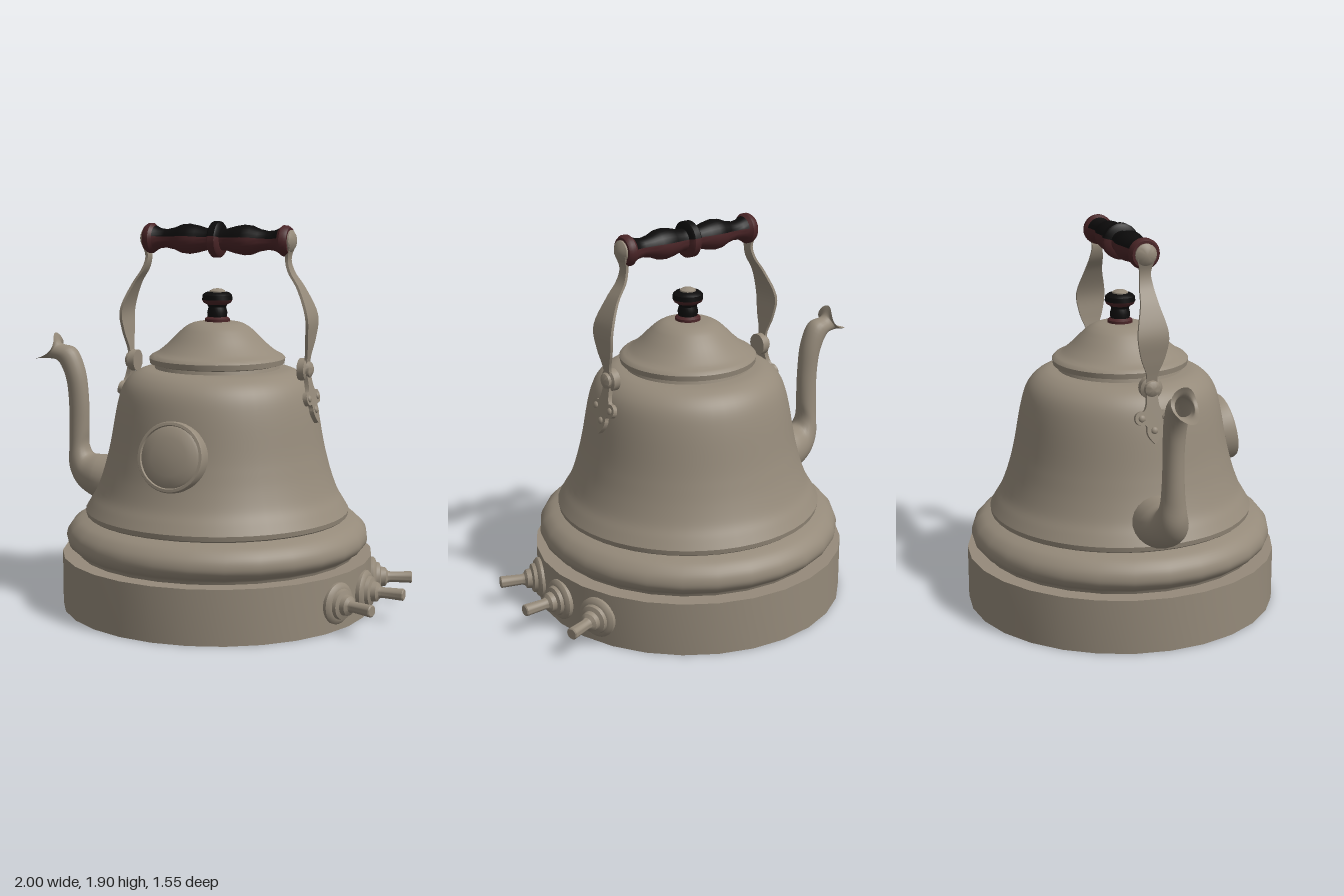
import * as THREE from 'three';
import { toCreasedNormals } from 'three/addons/utils/BufferGeometryUtils.js';

const metal = new THREE.MeshStandardMaterial({ color: 0x958a7a, side: THREE.DoubleSide });
metal.name = 'warm grey metal';
const wood = new THREE.MeshStandardMaterial({ color: 0x4a2527 });
wood.name = 'dark red wood';
const black = new THREE.MeshStandardMaterial({ color: 0x0c0b0b });
black.name = 'black lacquer';

const CENTRE = 0.023; // the pot stands slightly to the left of the spout-to-tap middle

function add(parent, name, geometry, material) {
  const mesh = new THREE.Mesh(geometry, material);
  mesh.name = name;
  parent.add(mesh);
  return mesh;
}

const vec2 = (pts) => pts.map(([x, y]) => new THREE.Vector2(x, y));
const smooth = (pts, n) => new THREE.SplineCurve(vec2(pts)).getPoints(n).map((p) => [Math.max(p.x, 0), p.y]);

// Turned part: profile of [radius, height] from bottom to top
function turned(pts, sides, start = 0, arc = Math.PI * 2) {
  return toCreasedNormals(new THREE.LatheGeometry(vec2(pts), sides, start, arc), 0.65);
}

// Spout made of elliptical rings: outer edge, inner edge and half width
function spoutGeometry() {
  const rings = [
    [-0.45, 0.42, -0.45, 0.70, 0.14], [-0.62, 0.465, -0.62, 0.70, 0.125],
    [-0.745, 0.53, -0.685, 0.705, 0.09], [-0.8, 0.62, -0.705, 0.75, 0.068],
    [-0.805, 0.74, -0.7, 0.83, 0.055], [-0.805, 0.98, -0.7, 0.98, 0.05],
    [-0.822, 1.1, -0.722, 1.14, 0.055], [-0.865, 1.175, -0.775, 1.245, 0.055],
    [-0.92, 1.185, -0.855, 1.268, 0.045], [-1.0, 1.18, -0.885, 1.32, 0.062],
  ];
  const outer = new THREE.CatmullRomCurve3(rings.map((r) => new THREE.Vector3(r[0], r[1], r[4])));
  const inner = new THREE.CatmullRomCurve3(rings.map((r) => new THREE.Vector3(r[2], r[3], 0)));
  const N = 45, M = 24, pos = [], idx = [];
  for (let i = 0; i <= N; i++) {
    const a = outer.getPoint(i / N), b = inner.getPoint(i / N);
    const notch = 0.06 * Math.max(0, (i / N - 0.89) / 0.11); // mouth dips between the two lips
    for (let j = 0; j < M; j++) {
      const t = (j / M) * Math.PI * 2, c = Math.cos(t) / 2, s = Math.sin(t);
      pos.push((a.x + b.x) / 2 + (a.x - b.x) * c + notch * s * s,
        (a.y + b.y) / 2 + (a.y - b.y) * c - notch * 0.25 * s * s, a.z * s);
      if (i < N) {
        const p = i * M + j, q = i * M + (j + 1) % M;
        idx.push(p, q, p + M, q, q + M, p + M);
      }
    }
  }
  const g = new THREE.BufferGeometry();
  g.setAttribute('position', new THREE.Float32BufferAttribute(pos, 3));
  g.setIndex(idx);
  g.computeVertexNormals();
  return g;
}

// Bent strap: a box whose rows follow a path of (x, y, half width)
function strapGeometry() {
  const path = new THREE.CatmullRomCurve3([
    [0.466, 1.2, 0.03], [0.474, 1.26, 0.026], [0.487, 1.35, 0.058], [0.492, 1.455, 0.075],
    [0.437, 1.59, 0.045], [0.385, 1.67, 0.033], [0.37, 1.73, 0.027], [0.388, 1.8, 0.045],
  ].map((p) => new THREE.Vector3(...p)));
  const g = new THREE.BoxGeometry(1, 1, 1, 1, 32, 1);
  const p = g.attributes.position;
  for (let i = 0; i < p.count; i++) {
    const c = path.getPoint(p.getY(i) + 0.5);
    p.setXYZ(i, c.x + p.getX(i) * 0.014, c.y, Math.sign(p.getZ(i)) * c.z);
  }
  return toCreasedNormals(g, 0.6);
}

// Leaf-shaped mounting plate hanging below its origin
function bracketGeometry() {
  const s = new THREE.Shape();
  s.moveTo(-0.028, 0.05);
  s.lineTo(0.028, 0.05);
  s.quadraticCurveTo(0.022, -0.04, 0.045, -0.06);
  s.absarc(0.058, -0.09, 0.033, 1.9, -1.9, true);
  s.quadraticCurveTo(0.03, -0.125, 0.036, -0.15);
  s.quadraticCurveTo(0.036, -0.18, 0, -0.215);
  s.quadraticCurveTo(-0.036, -0.18, -0.036, -0.15);
  s.quadraticCurveTo(-0.03, -0.125, -0.047, -0.121);
  s.absarc(-0.058, -0.09, 0.033, Math.PI + 1.9, Math.PI - 1.9, true);
  s.quadraticCurveTo(-0.022, -0.04, -0.028, 0.05);
  return new THREE.ExtrudeGeometry(s, { depth: 0.022, bevelEnabled: false, curveSegments: 10 });
}

// One side of the handle mount, facing +x
function handleSide() {
  const side = new THREE.Group();
  add(side, 'strap', strapGeometry(), metal);
  const pivot = add(side, 'pivot', turned([[0, 0], [0.054, 0], [0.054, 0.035], [0.04, 0.042],
    [0.036, 0.055], [0.02, 0.064], [0, 0.066]], 24), metal);
  pivot.rotation.z = -Math.PI / 2;
  pivot.position.set(0.435, 1.2, 0);
  const cap = add(side, 'handleCap', turned([[0, 0], [0.052, 0], [0.052, 0.012], [0.035, 0.025], [0, 0.03]], 20), metal);
  cap.rotation.z = -Math.PI / 2;
  cap.position.set(0.376, 1.815, 0);
  const mount = new THREE.Group();
  mount.name = 'bracket';
  mount.position.set(0.464, 1.15, 0);
  mount.rotation.z = 0.22;
  add(mount, 'bracketPlate', bracketGeometry(), metal).rotation.y = Math.PI / 2;
  for (const [z, y] of [[0.058, -0.09], [-0.058, -0.09], [0, -0.15]]) {
    const rivet = add(mount, 'rivet', new THREE.SphereGeometry(0.017, 12, 8), metal);
    rivet.position.set(0.022, y, z);
    rivet.scale.x = 0.6;
  }
  side.add(mount);
  return side;
}

export function createModel() {
  const model = new THREE.Group();
  model.name = 'kettle';
  const pot = new THREE.Group();
  pot.name = 'pot';
  pot.position.x = CENTRE;
  model.add(pot);

  // Base, bulging skirt, bell-shaped body
  add(pot, 'base', turned([[0, 0], [0.774, 0], [0.774, 0.268], [0.69, 0.268]], 28), metal);
  add(pot, 'skirt', turned(smooth([[0.69, 0.26], [0.7, 0.285], [0.735, 0.31], [0.752, 0.345], [0.742, 0.39],
    [0.705, 0.43], [0.655, 0.452], [0.63, 0.458]], 28), 28), metal);
  add(pot, 'body', turned([[0.63, 0.445], [0.652, 0.462], ...smooth([[0.656, 0.485], [0.63, 0.53], [0.598, 0.585],
    [0.567, 0.67], [0.545, 0.75], [0.527, 0.83], [0.496, 1.0], [0.467, 1.095], [0.425, 1.15],
    [0.37, 1.18], [0.31, 1.188]], 44), [0, 1.19]], 48), metal);

  // Lid
  add(pot, 'lid', turned([[0.31, 1.185], [0.305, 1.205], [0.332, 1.212], [0.336, 1.238], [0.325, 1.25],
    ...smooth([[0.315, 1.255], [0.285, 1.272], [0.24, 1.31], [0.19, 1.36], [0.15, 1.393], [0.1, 1.412], [0, 1.418]], 24)], 48), metal);

  // Lid knob
  add(pot, 'knobFoot', turned([[0, 1.412], [0.062, 1.412], [0.062, 1.428], [0.045, 1.44]], 24), wood);
  add(pot, 'knobStem', turned([[0.047, 1.436], [0.05, 1.46], [0.043, 1.485], [0.05, 1.498]], 24), black);
  add(pot, 'knobRim', turned([[0.05, 1.498], [0.068, 1.508], [0.075, 1.522]], 24), wood);
  add(pot, 'knobTop', turned([[0.075, 1.522], [0.073, 1.545], [0.058, 1.557], [0.03, 1.561]], 24), black);
  add(pot, 'knobCap', turned([[0.04, 1.555], [0.038, 1.566], [0.02, 1.575], [0, 1.577]], 20), metal);

  // Turned handle grip: black on the upper side, red wood below and at both ends
  const half = [[0.088, 0.016], [0.08, 0.024], [0.054, 0.03], [0.054, 0.055], [0.066, 0.1], [0.074, 0.145],
    [0.07, 0.185], [0.054, 0.225], [0.045, 0.27], [0.05, 0.305], [0.062, 0.33]];
  const grip = new THREE.Group();
  grip.name = 'grip';
  grip.position.y = 1.815;
  grip.rotation.z = -Math.PI / 2;
  pot.add(grip);
  const gripProfile = [...half.map(([r, t]) => [r, -t]).reverse(), ...half];
  const arc = 2.7, begin = Math.PI * 1.5 - arc / 2;
  add(grip, 'gripTop', turned(gripProfile, 14, begin, arc), black);
  add(grip, 'gripUnderside', turned(gripProfile, 18, begin + arc, Math.PI * 2 - arc), wood);
  for (const flip of [0, Math.PI]) {
    const end = add(grip, 'gripEnd', turned([[0.062, 0.33], [0.074, 0.345], [0.074, 0.365], [0.064, 0.38], [0, 0.38]], 32), wood);
    end.rotation.z = flip;
  }

  // Straps and brackets on both sides
  for (const [name, turn] of [['leftHandleMount', 0], ['rightHandleMount', Math.PI]]) {
    const side = handleSide();
    side.name = name;
    side.rotation.y = turn;
    pot.add(side);
  }

  // Round medallion on the front
  const medallion = add(pot, 'medallion', turned([[0.168, -0.05], [0.168, 0.008], [0.163, 0.018], [0.15, 0.02],
    [0.146, 0.01], [0.135, 0.018], [0.09, 0.03], [0, 0.036]], 40), metal);
  medallion.position.set(0, 0.83, 0.55);
  medallion.rotation.x = Math.PI / 2 - 0.19;

  // Three taps fanned out around the base
  for (const angle of [-0.343, 0, 0.343]) {
    const holder = new THREE.Group();
    holder.name = 'tap';
    holder.rotation.y = angle;
    const tap = add(holder, 'tapBody', turned([[0, 0.7], [0.08, 0.7], [0.1, 0.735], [0.1, 0.782], [0.088, 0.795],
      [0.074, 0.798], [0.07, 0.815], [0.05, 0.822], [0.046, 0.845], [0.03, 0.856], [0.026, 0.87],
      [0.029, 0.972], [0.024, 0.977], [0, 0.977]], 24), metal);
    tap.rotation.z = -Math.PI / 2;
    tap.position.y = 0.135;
    pot.add(holder);
  }

  add(model, 'spout', spoutGeometry(), metal);
  return model;
}
